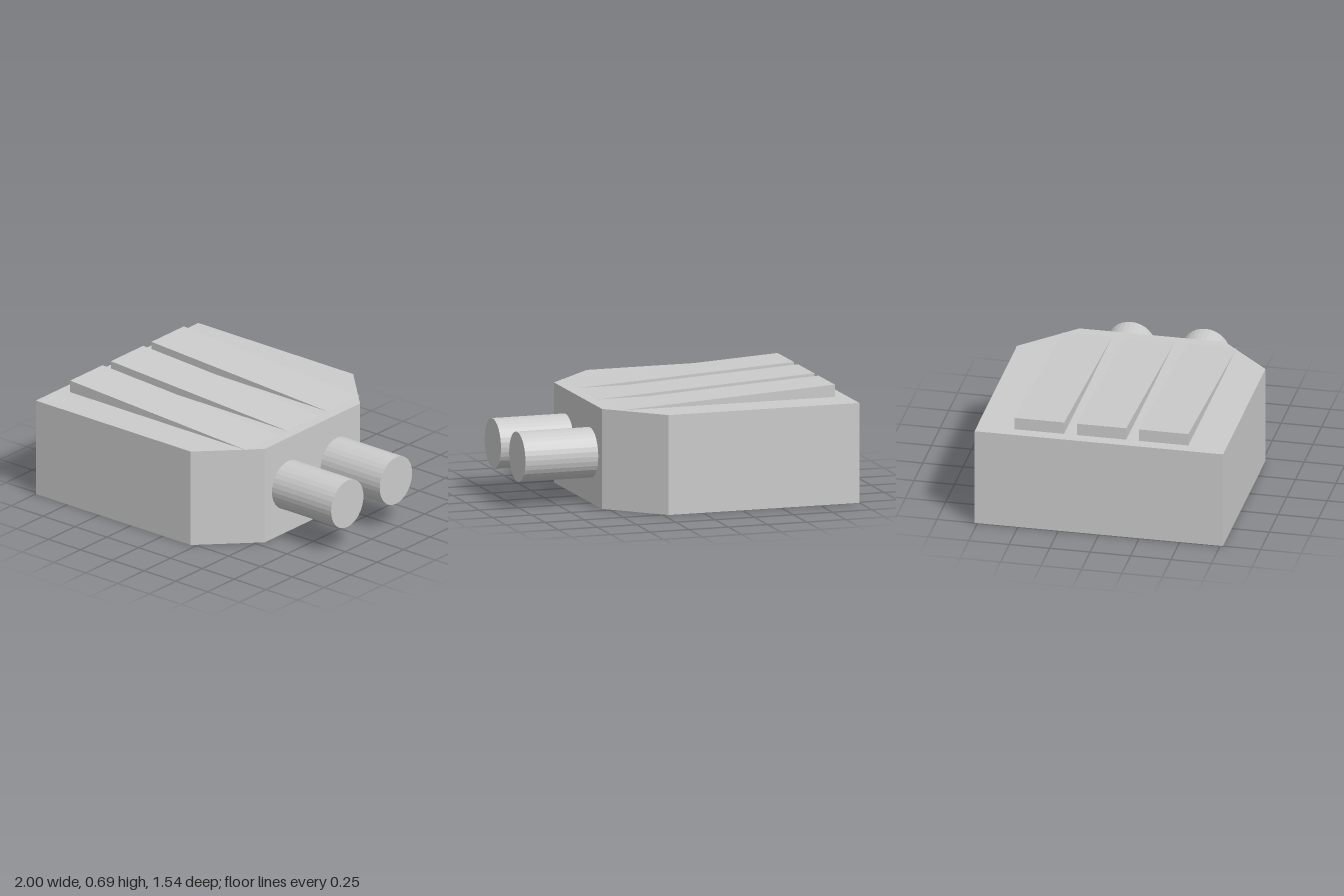
import * as THREE from 'three';

const material = new THREE.MeshStandardMaterial({ color: 0xcccccc, flatShading: true });

function extrude(points, depth) {
  const shape = new THREE.Shape(points.map(([x, y]) => new THREE.Vector2(x, y)));
  return new THREE.ExtrudeGeometry(shape, { depth, bevelEnabled: false });
}

export function createModel() {
  const group = new THREE.Group();
  const add = (name, geometry) => {
    const mesh = new THREE.Mesh(geometry, material);
    mesh.name = name;
    group.add(mesh);
    return mesh;
  };

  const height = 0.615;

  // Main block with two chamfered corners, extruded upwards
  const outline = [
    [-1, -0.768], [0.217, -0.768], [0.535, -0.45],
    [0.535, 0.45], [0.217, 0.768], [-1, 0.768],
  ];
  add('body', extrude(outline, height).rotateX(-Math.PI / 2));

  // Three tapering ribs on the top
  const ribWidth = 0.306;
  const ribProfile = [[-0.922, height], [0.46, height], [-0.922, 0.691]];
  for (const z of [-0.384, 0, 0.384]) {
    add('topRib', extrude(ribProfile, ribWidth)).position.z = z - ribWidth / 2;
  }

  // Two round pegs on the chamfered end
  for (const z of [-0.23, 0.23]) {
    const peg = new THREE.CylinderGeometry(0.153, 0.153, 0.465, 32).rotateZ(-Math.PI / 2);
    add('peg', peg).position.set(0.7675, 0.309, z);
  }

  return group;
}
